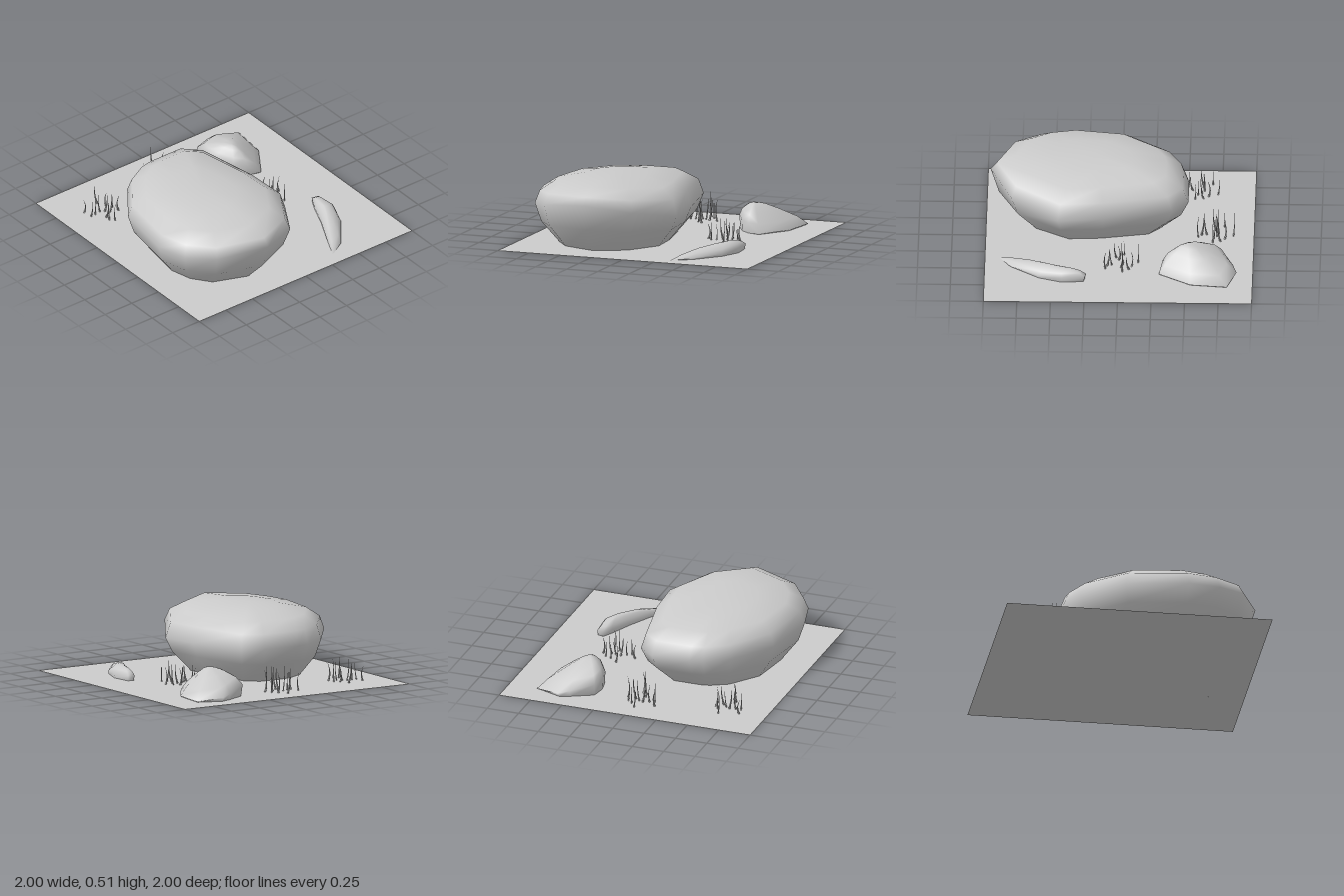
import * as THREE from 'three';

const material = new THREE.MeshStandardMaterial({ color: 0xcccccc, side: THREE.DoubleSide });

// Boulder: an outline [x, y, z] of its widest line, scaled about a centre into
// rings [scale, height, how far the ring follows the outline's rise and fall].
function makeRock(name, outline, [cx, cz], rings, topY) {
  const n = outline.length;
  const mean = outline.reduce((sum, p) => sum + p[1], 0) / n;
  const positions = [];
  const index = [];
  for (const [s, height, follow] of rings) {
    for (const [x, y, z] of outline) {
      positions.push(cx + (x - cx) * s, Math.max(0, height + (y - mean) * follow), cz + (z - cz) * s);
    }
  }
  // the widest ring keeps the outline's own heights
  positions.push(cx, topY, cz);
  const last = rings.length - 1;
  const apex = rings.length * n;
  for (let i = 0; i < n; i++) {
    const j = (i + 1) % n;
    for (let r = 0; r < last; r++) {
      const a = r * n + i, b = r * n + j;
      index.push(a, b, b + n, a, b + n, a + n);
    }
    index.push(last * n + i, last * n + j, apex);
  }
  const geometry = new THREE.BufferGeometry();
  geometry.setAttribute('position', new THREE.Float32BufferAttribute(positions, 3));
  geometry.setIndex(index);
  geometry.computeVertexNormals();
  const mesh = new THREE.Mesh(geometry, material);
  mesh.name = name;
  return mesh;
}

// Grass blade: a thin tapering spike, bowed and leaning
function makeBlade(height, bow, lean) {
  const geometry = new THREE.CylinderGeometry(0.0008, 0.008, height, 4, 5, true);
  geometry.translate(0, height / 2, 0);
  const p = geometry.attributes.position;
  for (let i = 0; i < p.count; i++) {
    const t = p.getY(i) / height;
    p.setX(i, p.getX(i) + bow * Math.sin(Math.PI * t) + lean * t * t);
    p.setZ(i, p.getZ(i) * 0.7);
  }
  geometry.computeVertexNormals();
  const blade = new THREE.Mesh(geometry, material);
  blade.name = 'grassBlade';
  return blade;
}

const bladeSpots = [
  [-0.11, -0.09], [0.04, -0.13], [-0.1, -0.02], [-0.06, -0.02], [-0.01, -0.03], [0.02, -0.01], [0.07, -0.06],
  [0.1, -0.02], [0.05, 0.02], [0.11, 0.04], [-0.02, 0.06], [-0.02, 0.1], [0.01, 0.13],
];

function makeGrass(x, z, turn, stretch) {
  const clump = new THREE.Group();
  clump.name = 'grassClump';
  bladeSpots.forEach(([bx, bz], i) => {
    const blade = makeBlade(0.11 + 0.05 * ((i * 5) % 7) / 6, 0.012, i % 3 ? 0.018 : -0.006);
    blade.position.set(bx, 0, bz);
    blade.rotation.y = i * 2.4;
    clump.add(blade);
  });
  clump.position.set(x, 0, z);
  clump.rotation.y = turn;
  clump.scale.y = stretch;
  return clump;
}

export function createModel() {
  const model = new THREE.Group();

  // Flat square of ground
  const ground = new THREE.Mesh(new THREE.PlaneGeometry(2, 2).rotateX(-Math.PI / 2), material);
  ground.name = 'ground';
  model.add(ground);

  // Large boulder, undercut towards the ground
  model.add(makeRock('largeRock', [
    [-0.33, 0.38, 0.97], [0, 0.32, 0.81], [0.22, 0.25, 0.46], [0.2, 0.26, 0.12], [0.1, 0.27, -0.39],
    [-0.03, 0.28, -0.51], [-0.33, 0.28, -0.51], [-0.43, 0.28, -0.49], [-0.61, 0.29, -0.39],
    [-0.84, 0.3, -0.08], [-0.91, 0.3, 0.39], [-0.85, 0.31, 0.63], [-0.7, 0.34, 0.83],
  ], [-0.36, 0.2], [
    [0.7, 0, 0], [0.92, 0.16, 0.3], [1, 0.297, 1], [0.94, 0.395, 0.5], [0.76, 0.463, 0.35], [0.4, 0.497, 0.15],
  ], 0.51));

  // Back rock, sloping down to the rear
  model.add(makeRock('backRock', [
    [0.5, 0.05, -0.85], [0.33, 0.09, -0.76], [0.31, 0.1, -0.64], [0.33, 0.1, -0.53], [0.4, 0.09, -0.4],
    [0.48, 0.08, -0.33], [0.58, 0.01, -0.3], [0.74, 0.01, -0.54], [0.77, 0.01, -0.81], [0.58, 0.03, -0.88],
  ], [0.46, -0.51], [
    [0.95, 0, 0], [1, 0.057, 1], [0.8, 0.113, 0.85], [0.45, 0.165, 0.45], [0.2, 0.193, 0.1],
  ], 0.2));

  // Low, narrow front rock
  model.add(makeRock('frontRock', [
    [0.34, 0, 0.89], [0.47, 0.01, 0.82], [0.64, 0.02, 0.6], [0.705, 0.04, 0.42], [0.69, 0.04, 0.25],
    [0.64, 0.04, 0.24], [0.6, 0.03, 0.32], [0.52, 0.02, 0.51], [0.42, 0.01, 0.71], [0.38, 0, 0.8],
  ], [0.61, 0.45], [
    [0.95, 0, 0], [1, 0.021, 1], [0.8, 0.05, 0.8], [0.5, 0.073, 0.4], [0.2, 0.083, 0.1],
  ], 0.085));

  // Three clumps of the same grass
  model.add(makeGrass(-0.68, -0.59, 0, 1));
  model.add(makeGrass(-0.03, -0.71, 0.2, 1.25));
  model.add(makeGrass(0.42, -0.01, 0.5, 1));

  return model;
}
